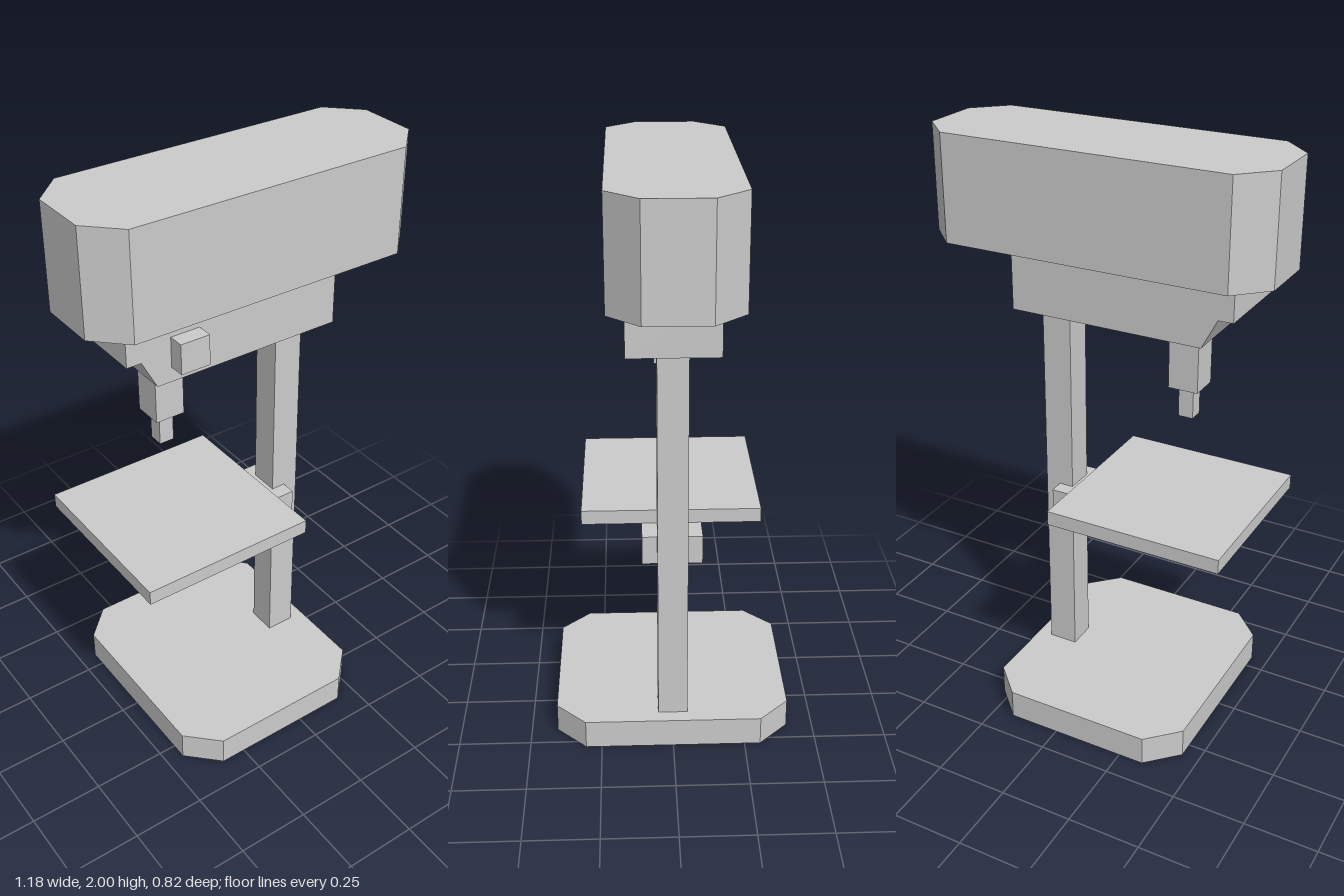
import * as THREE from 'three';

const material = new THREE.MeshStandardMaterial({ color: 0xcccccc, flatShading: true });

function add(group, name, geometry) {
  const mesh = new THREE.Mesh(geometry, material);
  mesh.name = name;
  group.add(mesh);
}

// Box given by its limits on each axis
function box(x0, x1, y0, y1, z0, z1) {
  return new THREE.BoxGeometry(x1 - x0, y1 - y0, z1 - z0)
    .translate((x0 + x1) / 2, (y0 + y1) / 2, (z0 + z1) / 2);
}

function extrude(points, depth) {
  const shape = new THREE.Shape(points.map(([x, y]) => new THREE.Vector2(x, y)));
  return new THREE.ExtrudeGeometry(shape, { depth, bevelEnabled: false });
}

// Upright slab with its four vertical corners cut off
function chamferedSlab(x0, x1, y0, y1, halfZ, cut) {
  const h = halfZ;
  return extrude([
    [x0 + cut, -h], [x1 - cut, -h], [x1, cut - h], [x1, h - cut],
    [x1 - cut, h], [x0 + cut, h], [x0, h - cut], [x0, cut - h],
  ], y1 - y0).rotateX(-Math.PI / 2).translate(0, y0, 0);
}

// Side profile (x, y) extruded evenly about z = 0
function sideProfile(points, halfZ) {
  return extrude(points, halfZ * 2).translate(0, 0, -halfZ);
}

export function createModel() {
  const drill = new THREE.Group();
  drill.name = 'drillPress';

  // Foot and column
  add(drill, 'base', chamferedSlab(-0.44, 0.28, 0, 0.103, 0.408, 0.103));
  add(drill, 'column', box(0.127, 0.229, 0.103, 1.44, -0.051, 0.051));

  // Work table on its tapered bracket
  add(drill, 'table', box(-0.54, 0.075, 0.77, 0.82, -0.306, 0.306));
  add(drill, 'tableBracket', sideProfile(
    [[-0.285, 0.771], [-0.08, 0.67], [0.177, 0.67], [0.177, 0.771]], 0.102));

  // Gearbox with a stepped nose, and the belt housing above it
  add(drill, 'gearbox', sideProfile(
    [[-0.488, 1.645], [-0.488, 1.54], [-0.438, 1.54], [-0.386, 1.44], [0.28, 1.44], [0.28, 1.645]], 0.15));
  add(drill, 'beltHousing', chamferedSlab(-0.59, 0.59, 1.645, 2, 0.204, 0.102));
  add(drill, 'switchBox', box(-0.335, -0.233, 1.49, 1.593, 0.15, 0.204));

  // Spindle and chuck
  add(drill, 'spindle', box(-0.335, -0.233, 1.235, 1.44, -0.051, 0.051));
  add(drill, 'chuck', box(-0.31, -0.259, 1.13, 1.235, -0.0255, 0.0255));

  return drill;
}
